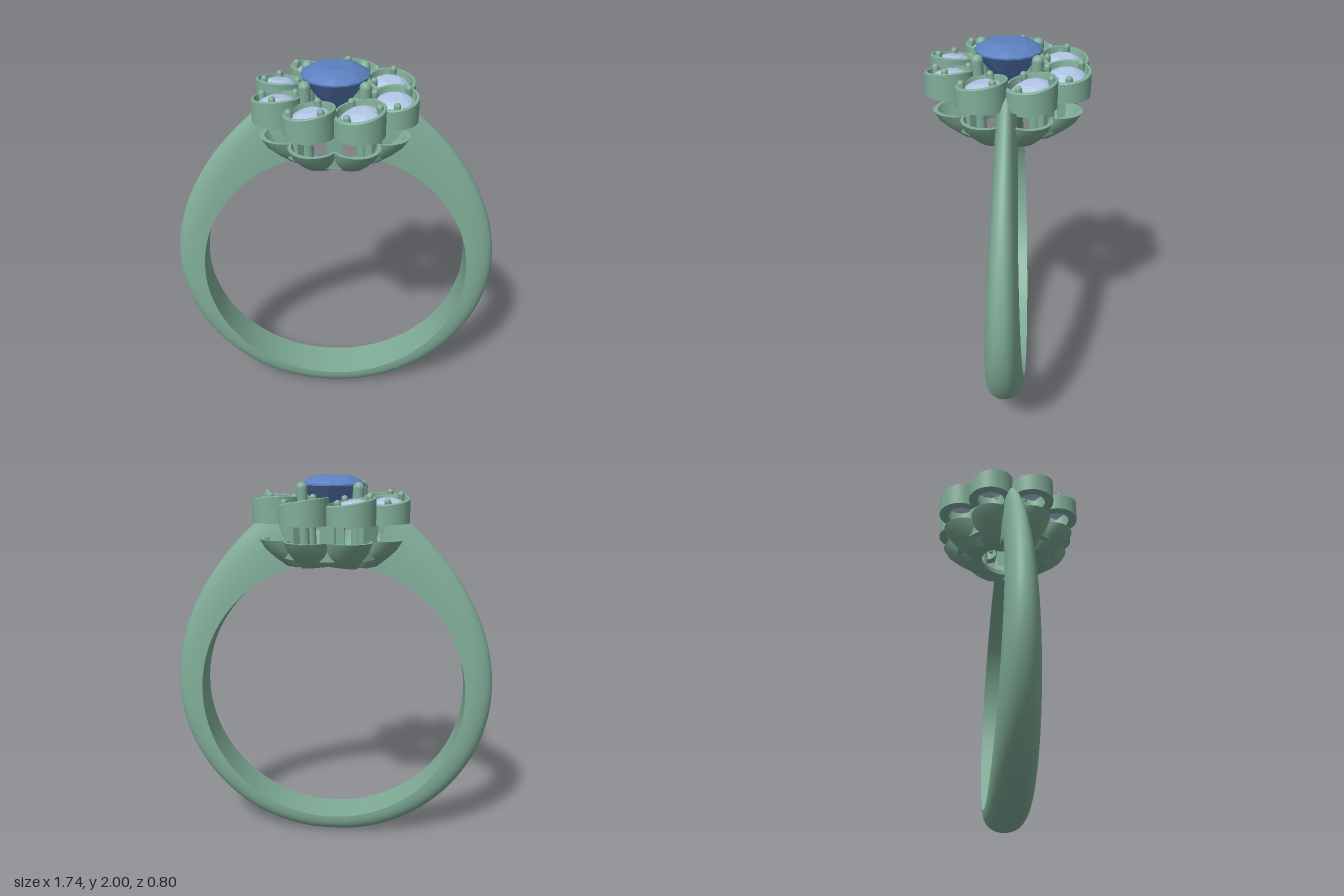
import * as THREE from 'three';
import { toCreasedNormals } from 'three/addons/utils/BufferGeometryUtils.js';
import { ConvexGeometry } from 'three/addons/geometries/ConvexGeometry.js';

const metal = new THREE.MeshStandardMaterial({ color: 0x80ad98 });
const deepBlue = new THREE.MeshStandardMaterial({ color: 0x5b80c0 });
const paleBlue = new THREE.MeshStandardMaterial({ color: 0xb0c4e4 });

const HOLE_Y = 0.835, HOLE_R = 0.722; // finger hole

function part(name, geometry, material, parent) {
  const mesh = new THREE.Mesh(geometry, material);
  mesh.name = name;
  parent.add(mesh);
  return mesh;
}

// Skin over rows of points; normals point along (row direction) x (column direction)
function loft(rows, crease = 0.6) {
  const n = rows[0].length, index = [];
  for (let i = 0; i < rows.length - 1; i++)
    for (let j = 0; j < n - 1; j++) {
      const a = i * n + j, b = a + n;
      index.push(a, b, a + 1, b, b + 1, a + 1);
    }
  const g = new THREE.BufferGeometry();
  g.setAttribute('position', new THREE.Float32BufferAttribute(rows.flat(2), 3));
  g.setIndex(index);
  return toCreasedNormals(g, crease);
}

// Band: D-shaped section, wide and thin below, narrow and tall at the shoulders
function bandGeometry() {
  const rows = [], steps = 128, end = 1.8, arc = 20;
  for (let i = 0; i <= steps; i++) {
    const t = (i / steps) * 2 - 1, b = Math.abs(t) * end;
    const outer = 0.83 + 0.04 * b + 0.28 * Math.max(0, b - 1) ** 3;
    const angOut = t * end * Math.PI / 2, angIn = angOut * 1.02;
    const yIn = HOLE_Y - HOLE_R * Math.cos(angIn);
    const w = 0.11 - 0.055 * (yIn - 0.11) / 1.45;
    const row = [];
    for (let j = 0; j <= arc; j++) {
      const u = (j / arc) * Math.PI, c = Math.cos(u);
      const f = Math.max(0, Math.sin(u)) ** 0.88;
      const z = -w * Math.sign(c) * Math.abs(c) ** 0.88;
      const r = THREE.MathUtils.lerp(HOLE_R, outer, f);
      const a = THREE.MathUtils.lerp(angIn, angOut, f);
      row.push([r * Math.sin(a), HOLE_Y - r * Math.cos(a), z]);
    }
    row.push(row[0]);
    rows.push(row);
  }
  // close both ends onto their middle
  const cap = row => {
    const mid = [0, 1, 2].map(k => row.reduce((s, p) => s + p[k], 0) / row.length);
    return row.map(() => mid);
  };
  return loft([cap(rows[0]), ...rows, cap(rows[steps])]);
}

// Eight-petalled cup, its underside trimmed to the finger hole
function cupGeometry() {
  // radius, height, depth of the lobes
  const profile = [
    [0.145, 1.525, 0], [0.2, 1.527, 0.18], [0.25, 1.545, 0.2], [0.31, 1.59, 0.21],
    [0.36, 1.635, 0.22], [0.39, 1.685, 0.22], [0.365, 1.685, 0.22], [0.335, 1.64, 0.21],
    [0.28, 1.6, 0.2], [0.2, 1.575, 0.15], [0.145, 1.572, 0], [0.145, 1.525, 0],
  ];
  const segments = 128;
  return loft(profile.map(([s, y, lobe]) => {
    const row = [];
    for (let j = 0; j <= segments; j++) {
      const a = (j / segments) * Math.PI * 2;
      const r = s * (1 - lobe * (1 - Math.abs(Math.sin(4 * a)) ** 0.75));
      const x = r * Math.cos(a);
      row.push([x, Math.max(y, HOLE_Y + Math.sqrt(HOLE_R ** 2 - x * x)), r * Math.sin(a)]);
    }
    return row;
  }), 0.5);
}

// Brilliant-cut stone with its girdle at y = 0
function gemGeometry(radius, crown, pavilion) {
  const points = [new THREE.Vector3(0, -pavilion, 0)];
  const ring = (r, y, n, turn) => {
    for (let i = 0; i < n; i++) {
      const a = (i + turn) / n * Math.PI * 2;
      points.push(new THREE.Vector3(r * radius * Math.cos(a), y, r * radius * Math.sin(a)));
    }
  };
  ring(0.52, crown, 8, 0.5);
  ring(0.8, crown * 0.62, 8, 0);
  ring(1, 0.004, 16, 0);
  ring(1, -0.004, 16, 0);
  ring(0.55, -pavilion * 0.52, 8, 0.5);
  return new ConvexGeometry(points);
}

// Round stone cup: flat base, slanting rim, stepped seat
function bezelGeometry() {
  const top = 1.885, base = 1.77, tilt = 0.17;
  const profile = [
    [0.075, base], [0.123, base], [0.123, top - 0.004], [0.119, top], [0.108, top],
    [0.102, top - 0.035], [0.085, top - 0.04], [0.075, base],
  ].map(p => new THREE.Vector2(...p));
  const g = new THREE.LatheGeometry(profile, 48);
  const pos = g.attributes.position;
  for (let i = 0; i < pos.count; i++) {
    const y = pos.getY(i);
    pos.setY(i, y - tilt * pos.getZ(i) * Math.min(1, (y - base) / 0.07));
  }
  return toCreasedNormals(g, 0.6);
}

function pinBetween(name, from, to, radius, parent) {
  const dir = to.clone().sub(from), length = dir.length();
  const pin = part(name, new THREE.CapsuleGeometry(radius, length - radius, 6, 16), metal, parent);
  pin.position.copy(from).add(to).multiplyScalar(0.5);
  pin.quaternion.setFromUnitVectors(new THREE.Vector3(0, 1, 0), dir.normalize());
}

export function createModel() {
  const ring = new THREE.Group();
  ring.name = 'flowerRing';
  part('band', bandGeometry(), metal, ring);
  part('petalCup', cupGeometry(), metal, ring);

  // Centre stone and its four claws
  part('centreStone', gemGeometry(0.168, 0.045, 0.2), deepBlue, ring).position.y = 1.955;
  for (let i = 0; i < 4; i++) {
    const a = (i + 0.5) * Math.PI / 2;
    const at = (r, y) => new THREE.Vector3(r * Math.cos(a), y, r * Math.sin(a));
    pinBetween('centreClaw', at(0.185, 1.57), at(0.203, 1.956), 0.029, ring);
  }

  // Halo of eight small stones, with struts between them
  const bezel = bezelGeometry();
  const smallGem = gemGeometry(0.088, 0.026, 0.075);
  const claw = new THREE.CapsuleGeometry(0.017, 0.05, 6, 12);
  const strut = new THREE.BoxGeometry(0.04, 0.2, 0.075);
  for (let i = 0; i < 8; i++) {
    const a = (i + 0.5) * Math.PI / 4;
    const setting = new THREE.Group();
    setting.name = 'haloSetting';
    setting.position.set(0.3 * Math.cos(a), 0, 0.3 * Math.sin(a));
    setting.rotation.y = -a;
    ring.add(setting);
    part('bezel', bezel, metal, setting);

    const tilted = new THREE.Group();
    tilted.name = 'haloStoneAndClaws';
    tilted.position.y = 1.885;
    tilted.rotation.x = 0.17;
    setting.add(tilted);
    part('haloStone', smallGem, paleBlue, tilted).position.y = -0.025;
    for (const turn of [Math.PI / 3, Math.PI, -Math.PI / 3])
      part('haloClaw', claw, metal, tilted)
        .position.set(0.095 * Math.cos(turn), -0.018, 0.095 * Math.sin(turn));

    const s = i * Math.PI / 4;
    const bar = part('strut', strut, metal, ring);
    bar.position.set(0.265 * Math.cos(s), 1.69, 0.265 * Math.sin(s));
    bar.rotation.y = -s;
  }
  return ring;
}
